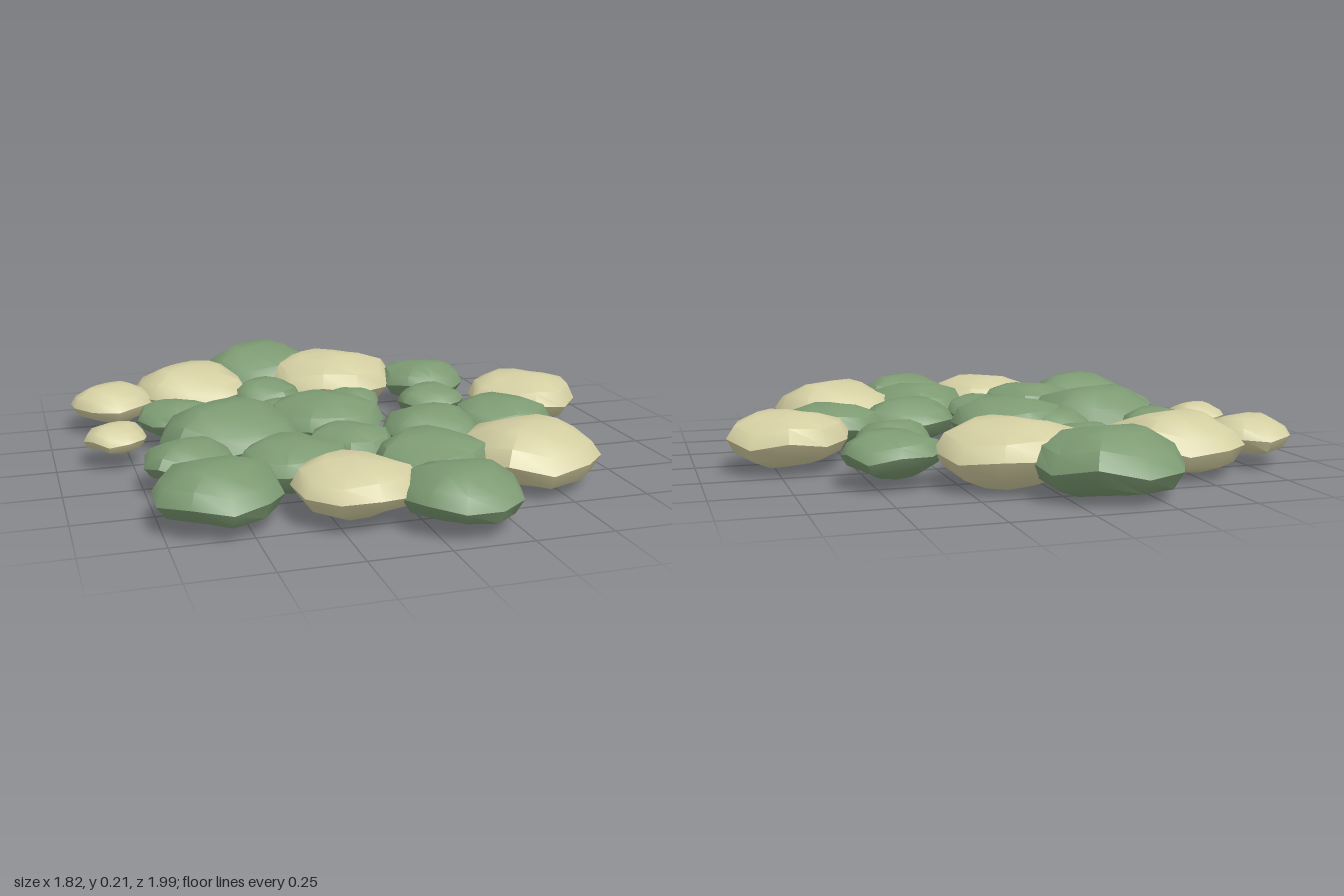
import * as THREE from 'three';
import { toCreasedNormals } from 'three/addons/utils/BufferGeometryUtils.js';

const green = new THREE.MeshStandardMaterial({ name: 'leaf green', color: 0x7d9b73 });
const cream = new THREE.MeshStandardMaterial({ name: 'pale cream', color: 0xd4cfa2 });

// Squashed, slightly irregular low-poly pebble
function clumpGeometry(r, h, seed) {
  const g = new THREE.SphereGeometry(1, 10, 6);
  g.rotateY(seed * 1.7);
  const p = g.attributes.position;
  const v = new THREE.Vector3();
  for (let i = 0; i < p.count; i++) {
    v.fromBufferAttribute(p, i);
    // offset depends only on direction, so seam corners stay together
    const ring = Math.hypot(v.x, v.z);
    const k = 1 + 0.035 * Math.sin(v.x * 5 + seed * 2.1) * Math.cos(v.z * 4 - seed);
    const lift = 0.16 * ring * Math.sin(v.x * 3.3 + v.z * 4.1 + seed * 3);
    p.setXYZ(i, v.x * k * r, (v.y + lift) * h, v.z * k * r);
  }
  return toCreasedNormals(g, 0.75);
}

// x, z, radius of each clump
const greenClumps = [
  [-0.13, -0.765, 0.235], [0.44, -0.45, 0.16], [-0.2, -0.4, 0.13],
  [0.09, -0.23, 0.1], [0.37, -0.16, 0.125], [-0.57, -0.19, 0.135],
  [-0.435, 0.07, 0.235], [-0.08, -0.01, 0.205], [-0.22, -0.1, 0.13],
  [-0.075, 0.275, 0.145], [0.235, 0.195, 0.17], [0.52, 0.14, 0.17],
  [-0.61, 0.3, 0.145], [-0.3, 0.42, 0.18], [-0.58, 0.605, 0.197],
  [0.13, 0.5, 0.19], [0.1, 0.815, 0.185],
];
const creamClumps = [
  [-0.46, -0.53, 0.22], [0.095, -0.55, 0.237], [-0.765, -0.455, 0.15],
  [0.705, -0.095, 0.203], [-0.8, -0.02, 0.105], [-0.18, 0.67, 0.193],
  [0.44, 0.53, 0.225],
];

export function createModel() {
  const model = new THREE.Group();
  model.name = 'foliageCluster';
  const addAll = (list, material, name, offset) => list.forEach(([x, z, r], i) => {
    const mesh = new THREE.Mesh(clumpGeometry(r, r * 0.44, i + offset), material);
    mesh.name = name + (i + 1);
    mesh.position.set(x, 0.1 + r * 0.05, z);
    model.add(mesh);
  });
  addAll(greenClumps, green, 'greenClump', 1);
  addAll(creamClumps, cream, 'creamClump', 30);
  return model;
}
